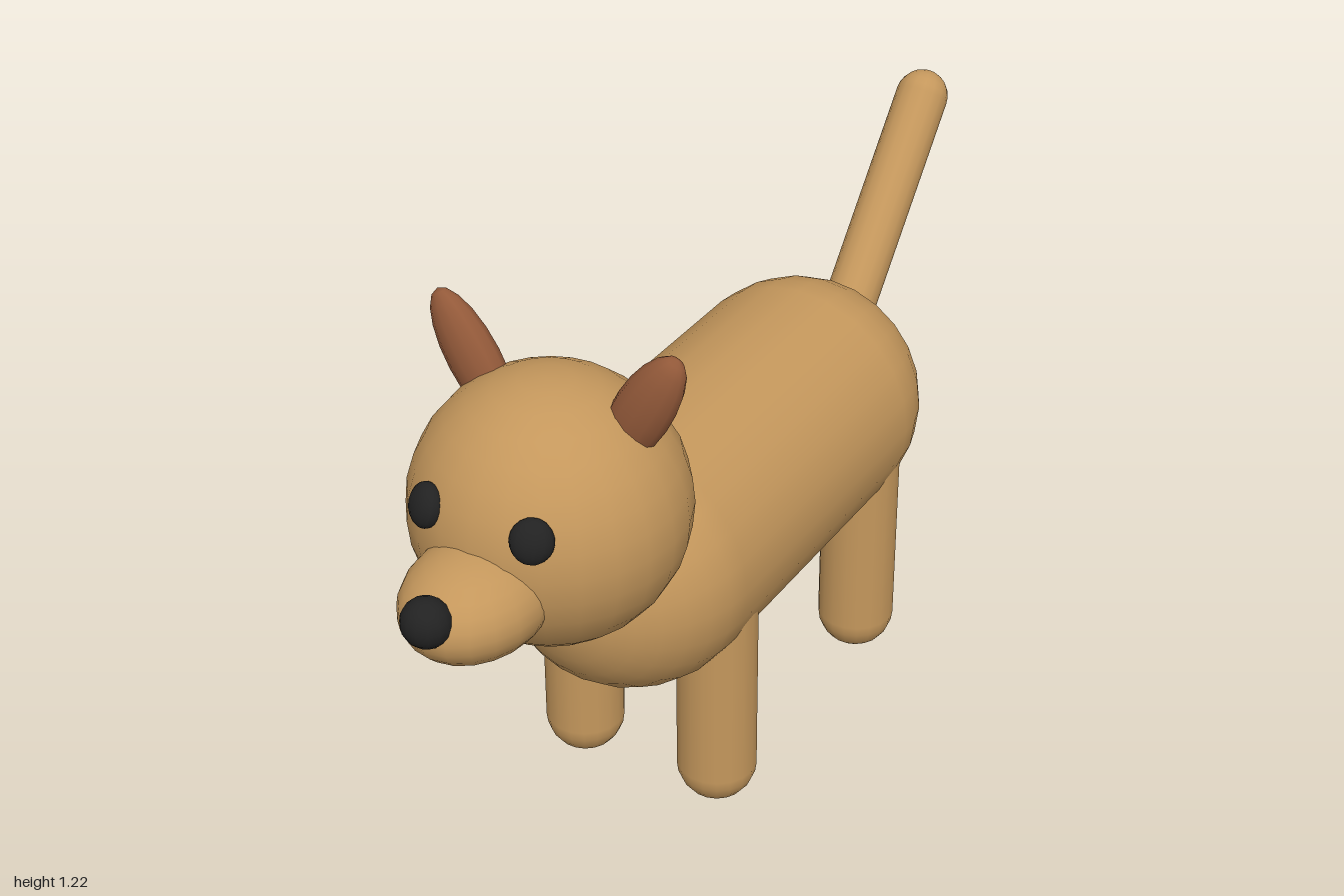
import * as THREE from 'three';

const fur = new THREE.MeshStandardMaterial({ color: 0xc4975c });
fur.name = 'tan fur';
const earBrown = new THREE.MeshStandardMaterial({ color: 0x945a3a });
earBrown.name = 'ear brown';
const black = new THREE.MeshStandardMaterial({ color: 0x222222 });
black.name = 'black';

const UP = new THREE.Vector3(0, 1, 0);

export function createModel() {
  const model = new THREE.Group();
  model.name = 'dog';

  const add = (name, geometry, material, position) => {
    const mesh = new THREE.Mesh(geometry, material);
    mesh.name = name;
    mesh.position.set(...position);
    model.add(mesh);
    return mesh;
  };

  // Ellipsoid with the given half sizes
  const ellipsoid = (name, radii, position, material, w = 24, h = 16) => {
    const mesh = add(name, new THREE.SphereGeometry(1, w, h), material, position);
    mesh.scale.set(...radii);
    return mesh;
  };

  // Capsule whose cap centres lie at a and b
  const capsule = (name, a, b, radius, capSegments, sides) => {
    const start = new THREE.Vector3(...a);
    const end = new THREE.Vector3(...b);
    const axis = end.clone().sub(start);
    const geometry = new THREE.CapsuleGeometry(radius, axis.length(), capSegments, sides);
    const mid = start.add(end).multiplyScalar(0.5);
    const mesh = add(name, geometry, fur, mid.toArray());
    mesh.quaternion.setFromUnitVectors(UP, axis.normalize());
    return mesh;
  };

  // Body and tail
  capsule('body', [0, 0.578, -0.388], [0, 0.578, 0.288], 0.264, 8, 24);
  capsule('tail', [0, 0.675, -0.605], [0, 1.067, -0.942], 0.057, 6, 16);

  // Head, snout and nose
  const headCentre = [0, 0.858, 0.56];
  ellipsoid('head', [0.266, 0.267, 0.266], headCentre, fur);
  ellipsoid('snout', [0.132, 0.104, 0.168], [0, 0.796, 0.8], fur, 20, 14);
  ellipsoid('nose', [0.048, 0.048, 0.046], [0, 0.833, 0.954], black, 14, 10);

  for (const [side, s] of [['left', 1], ['right', -1]]) {
    // Flattened eye lying on the curve of the head
    const eye = ellipsoid(side + 'Eye', [0.041, 0.043, 0.026], [s * 0.113, 0.943, 0.787], black, 14, 10);
    const outward = eye.position.clone().sub(new THREE.Vector3(...headCentre)).normalize();
    eye.quaternion.setFromUnitVectors(new THREE.Vector3(0, 0, 1), outward);

    // Ear leaning outward
    const ear = ellipsoid(side + 'Ear', [0.056, 0.147, 0.04], [s * 0.18, 1.09, 0.525], earBrown, 12, 10);
    ear.rotation.z = -s * 0.53;

    // Front and back legs
    for (const [end, z] of [['Front', 0.225], ['Back', -0.388]]) {
      capsule(side + end + 'Leg', [s * 0.16, 0.083, z], [s * 0.16, 0.48, z], 0.083, 6, 18);
    }
  }

  return model;
}
